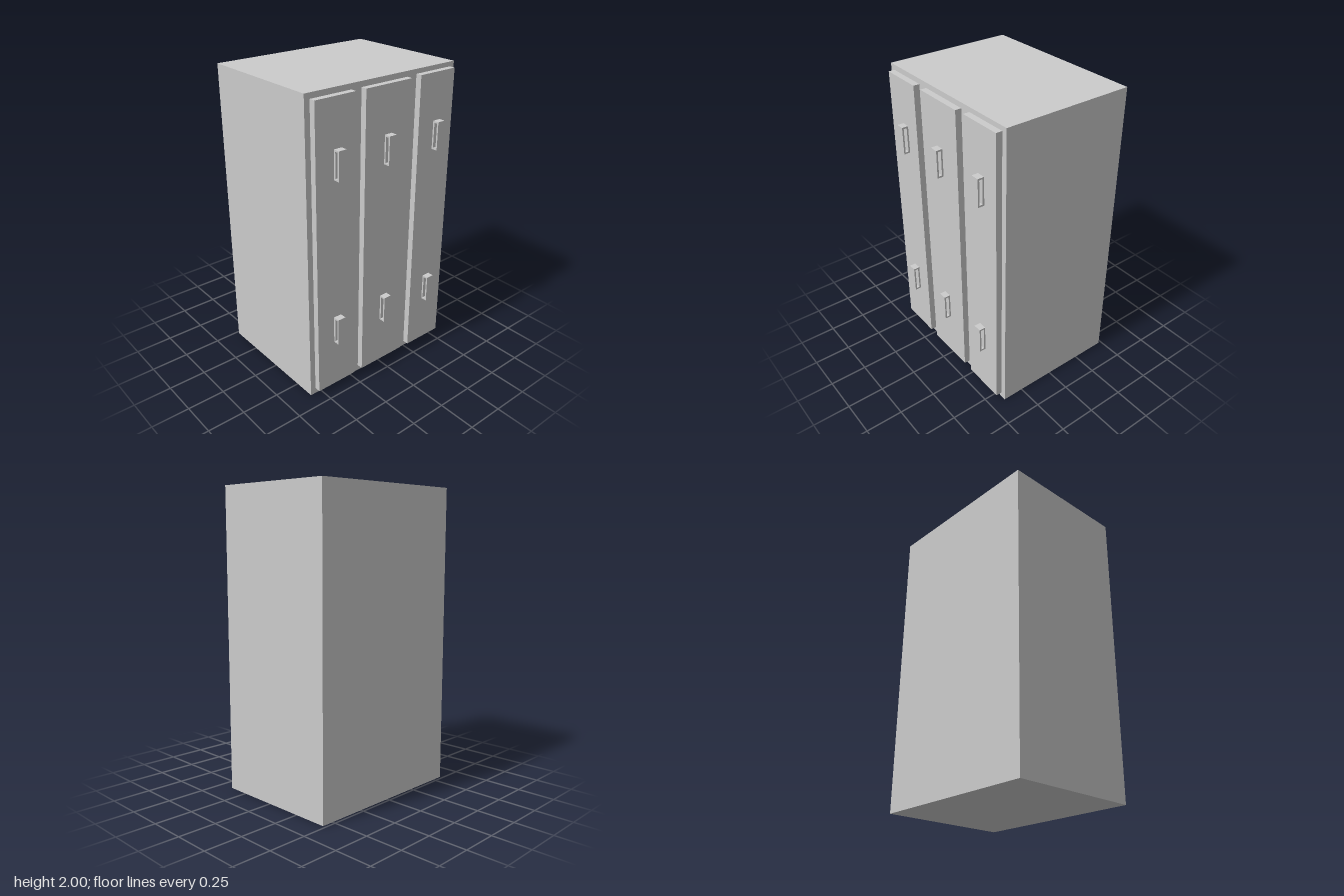
import * as THREE from 'three';

const material = new THREE.MeshStandardMaterial({ color: 0xcccccc, flatShading: true });

// Box given by its limits on each axis
function box(name, [x0, x1], [y0, y1], [z0, z1]) {
  const mesh = new THREE.Mesh(new THREE.BoxGeometry(x1 - x0, y1 - y0, z1 - z0), material);
  mesh.name = name;
  mesh.position.set((x0 + x1) / 2, (y0 + y1) / 2, (z0 + z1) / 2);
  return mesh;
}

function rectangle(path, x0, y0, x1, y1) {
  return path.moveTo(x0, y0).lineTo(x1, y0).lineTo(x1, y1).lineTo(x0, y1).closePath();
}

// Upright loop handle: a thin rectangular frame, open from side to side
function handleGeometry() {
  const w = 0.043, h = 0.185, wall = 0.011, depth = 0.055;
  const frame = rectangle(new THREE.Shape(), 0, -h / 2, w, h / 2);
  frame.holes.push(rectangle(new THREE.Path(), wall, -h / 2 + wall, w - wall, h / 2 - wall));
  return new THREE.ExtrudeGeometry(frame, { depth, bevelEnabled: false }).translate(0, 0, -depth / 2);
}

export function createModel() {
  const group = new THREE.Group();
  group.name = 'cabinet';
  const bodyFace = 0.395, doorFace = 0.436;

  // Cabinet body
  group.add(box('body', [-0.48, bodyFace], [0, 2], [-0.58, 0.58]));

  // Three tall doors on the right side, each with an upper and a lower handle
  const doors = [
    { z: [0.254, 0.543], y: [0.04, 1.965], upper: 0.385, lower: 0.39 },
    { z: [-0.178, 0.18], y: [0.04, 1.965], upper: 0.001, lower: 0.001 },
    { z: [-0.544, -0.253], y: [0.035, 1.97], upper: -0.408, lower: -0.398 },
  ];
  const geometry = handleGeometry();
  for (const { z, y, upper, lower } of doors) {
    group.add(box('door', [bodyFace, doorFace], y, z));
    for (const [name, hy, hz] of [['upperHandle', 1.572, upper], ['lowerHandle', 0.463, lower]]) {
      const handle = new THREE.Mesh(geometry, material);
      handle.name = name;
      handle.position.set(doorFace, hy, hz);
      group.add(handle);
    }
  }
  return group;
}
